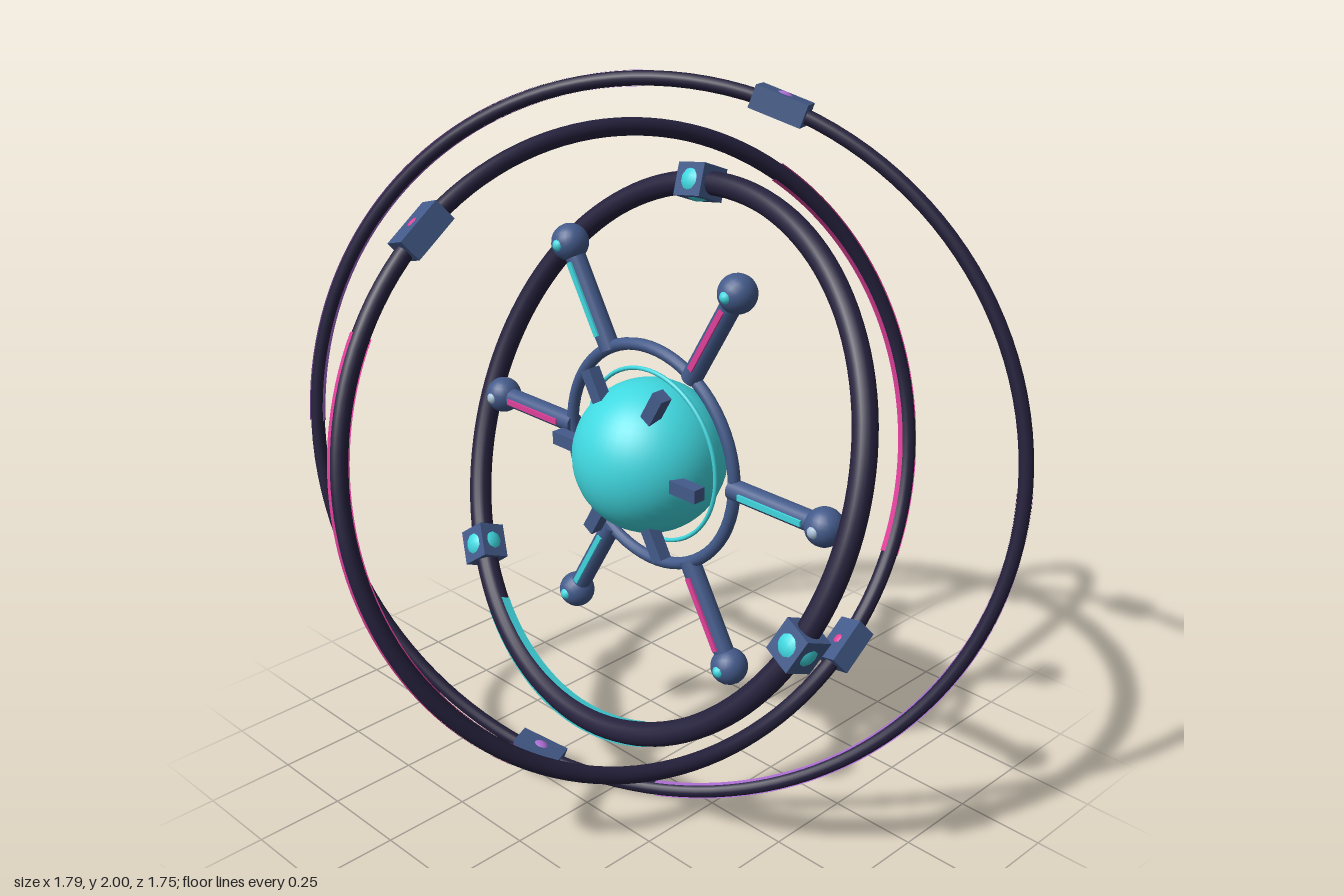
import * as THREE from 'three';

const mat = (name, color, side = THREE.FrontSide) => {
  const m = new THREE.MeshStandardMaterial({ color, side });
  m.name = name;
  return m;
};

export function createModel() {
  const dark = mat('darkMetal', 0x25213d);
  const steel = mat('blueSteel', 0x435a8a);
  const cyan = mat('cyanGlow', 0x40d8e0, THREE.DoubleSide);
  const pink = mat('pinkGlow', 0xe0409a, THREE.DoubleSide);
  const violet = mat('violetGlow', 0xb070d8, THREE.DoubleSide);
  const pale = mat('paleLight', 0xa8c0d8);

  const model = new THREE.Group();
  model.name = 'armillarySphere';
  const core = new THREE.Group();
  core.name = 'core';
  core.position.y = 1.003;
  model.add(core);

  const add = (parent, name, geometry, material, x = 0, y = 0, z = 0) => {
    const mesh = new THREE.Mesh(geometry, material);
    mesh.name = name;
    mesh.position.set(x, y, z);
    parent.add(mesh);
    return mesh;
  };

  // Central orb, frame ring and thin glowing ring
  add(core, 'orb', new THREE.SphereGeometry(0.21, 40, 28), cyan);
  add(core, 'frameRing', new THREE.TorusGeometry(0.307, 0.017, 12, 64), steel);
  add(core, 'glowRing', new THREE.TorusGeometry(0.241, 0.006, 8, 64), cyan);

  // Six spokes with ball ends, light strips and small blocks
  for (let i = 0; i < 6; i++) {
    const spoke = new THREE.Group();
    spoke.name = 'spoke';
    spoke.rotation.z = (i * Math.PI) / 3;
    core.add(spoke);
    const rod = new THREE.CylinderGeometry(0.028, 0.028, 0.3, 16);
    rod.rotateZ(Math.PI / 2);
    add(spoke, 'spokeRod', rod, steel, 0.45);
    add(spoke, 'spokeBall', new THREE.SphereGeometry(0.051, 20, 14), steel, 0.607);
    add(spoke, 'spokeStrip', new THREE.BoxGeometry(0.21, 0.016, 0.009), i % 2 ? pink : cyan, 0.45, 0, 0.028);
    add(spoke, 'spokeLight', new THREE.SphereGeometry(0.018, 12, 8), i % 3 ? cyan : pale, 0.607, 0, 0.04);
    add(spoke, 'spokeBlock', new THREE.BoxGeometry(0.09, 0.037, 0.037), steel, 0.225, 0, 0.09);
  }

  // A tilted ring: local z is its axis, local x points at its first clamp
  const tiltedRing = (o) => {
    const ring = new THREE.Group();
    ring.name = o.name;
    const z = new THREE.Vector3(...o.axis).normalize();
    const x = new THREE.Vector3(...o.clamp).projectOnPlane(z).normalize();
    const y = new THREE.Vector3().crossVectors(z, x);
    ring.quaternion.setFromRotationMatrix(new THREE.Matrix4().makeBasis(x, y, z));
    core.add(ring);
    add(ring, 'hoop', new THREE.TorusGeometry(o.R, o.r, 16, 128), dark);

    // Clamps with a gem showing through the faces
    for (let i = 0; i < o.count; i++) {
      const clamp = new THREE.Group();
      clamp.name = 'clamp';
      const a = (i * Math.PI * 2) / o.count;
      clamp.position.set(o.R * Math.cos(a), o.R * Math.sin(a), 0);
      clamp.rotation.z = a;
      ring.add(clamp);
      add(clamp, 'clampBlock', new THREE.BoxGeometry(...o.box), steel);
      add(clamp, 'clampGem', new THREE.SphereGeometry(o.gem, 18, 12), o.glow);
    }

    // Glowing arcs along the inner and outer edges
    for (const middle of o.arcs) {
      for (const side of [-1, 1]) {
        const radius = o.R + side * (o.r + 0.001);
        const start = THREE.MathUtils.degToRad(middle - o.half + 90);
        const arc = new THREE.CylinderGeometry(radius, radius, o.r * 0.9, 40, 1, true,
          start, THREE.MathUtils.degToRad(o.half * 2));
        arc.rotateX(Math.PI / 2);
        add(ring, 'glowArc', arc, o.glow);
      }
    }
  };

  tiltedRing({ name: 'outerRing', axis: [0.47, 0.127, 0.873], clamp: [0.21, 0.937, -0.25],
    R: 0.987, r: 0.019, count: 2, box: [0.06, 0.14, 0.08], gem: 0.036, glow: violet,
    arcs: [65, 245], half: 44 });
  tiltedRing({ name: 'middleRing', axis: [0.93, 0.29, 0.225], clamp: [-0.31, 0.655, 0.48],
    R: 0.868, r: 0.024, count: 2, box: [0.065, 0.14, 0.09], gem: 0.036, glow: pink,
    arcs: [62, 242], half: 42 });
  tiltedRing({ name: 'innerRing', axis: [-0.1, 0.374, 0.92], clamp: [-0.1, 0.685, -0.29],
    R: 0.739, r: 0.032, count: 3, box: [0.09, 0.1, 0.085], gem: 0.052, glow: cyan,
    arcs: [165], half: 30 });

  return model;
}
